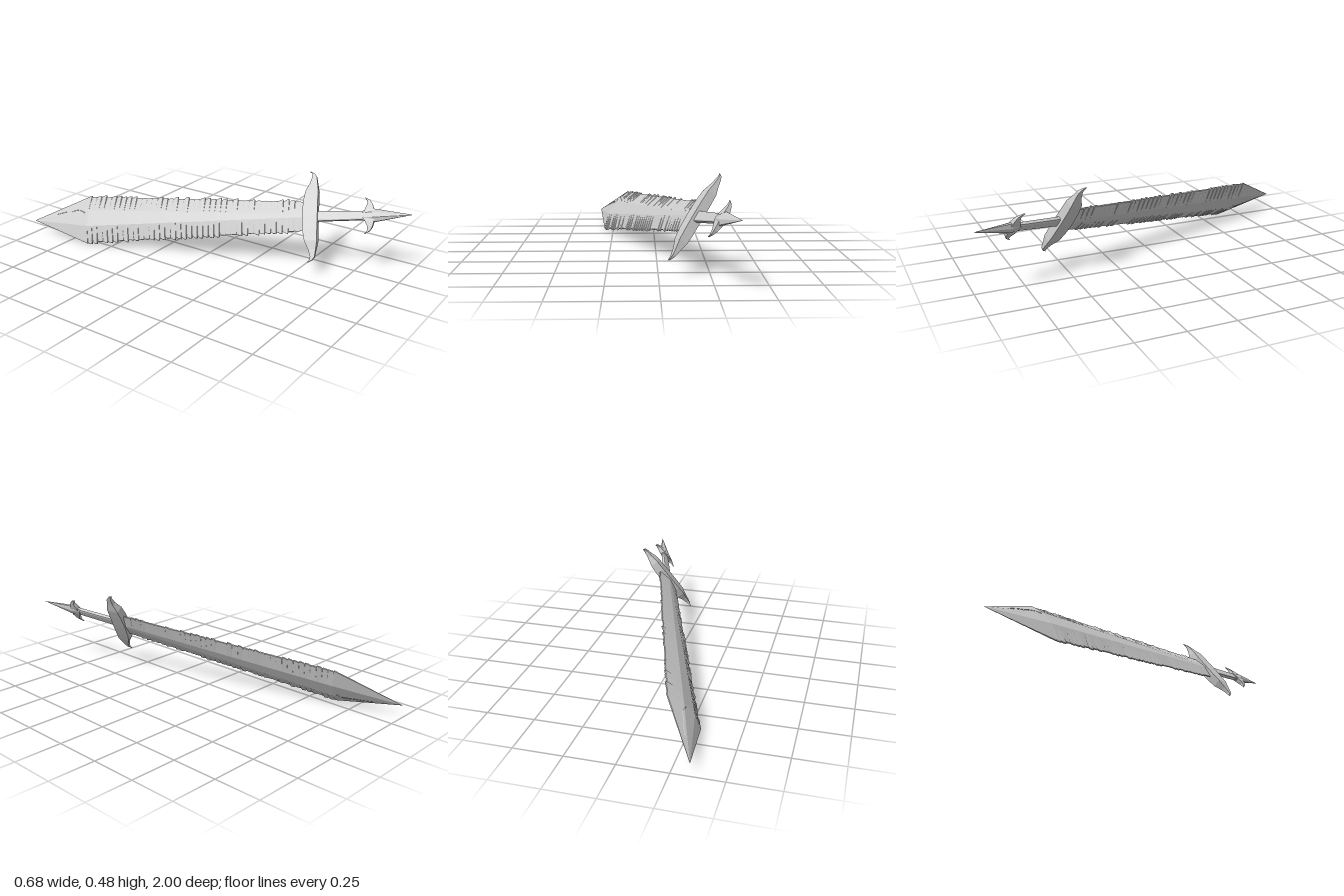
import * as THREE from 'three';

const material = new THREE.MeshStandardMaterial({ color: 0xcccccc, flatShading: true, side: THREE.DoubleSide });

// Joins rings of points into a closed, flat-shaded solid
function loft(name, rings) {
  const pos = [];
  const tri = (...pts) => pts.forEach((p) => pos.push(p[0], p[1], p[2]));
  const n = rings[0].length;
  for (let i = 0; i < rings.length - 1; i++) {
    for (let j = 0; j < n; j++) {
      const k = (j + 1) % n;
      const a = rings[i][j], b = rings[i][k], c = rings[i + 1][k], d = rings[i + 1][j];
      tri(a, b, c);
      tri(a, c, d);
    }
  }
  const first = rings[0], last = rings[rings.length - 1];
  for (let j = 1; j < n - 1; j++) {
    tri(first[0], first[j + 1], first[j]);
    tri(last[0], last[j], last[j + 1]);
  }
  const geometry = new THREE.BufferGeometry();
  geometry.setAttribute('position', new THREE.Float32BufferAttribute(pos, 3));
  geometry.computeVertexNormals();
  const mesh = new THREE.Mesh(geometry, material);
  mesh.name = name;
  return mesh;
}

// Eight-sided section across the length: flat half width r, half thickness t,
// edge half widths left and right, edge half thickness e
const bladeRing = (y, r, t, right, left, e) => [
  [r, y, t], [right, y, e], [right, y, -e], [r, y, -t],
  [-r, y, -t], [-left, y, -e], [-left, y, e], [-r, y, t],
];

// Rectangular section of a crosspiece: position x, centre y, half height, half depth
const barRing = ([x, y, h, d]) => [[x, y + h, d], [x, y - h, d], [x, y - h, -d], [x, y + h, -d]];

// Crosspiece mirrored from a half profile that starts in the middle
function crosspiece(name, half) {
  const mirrored = half.slice(1).reverse().map(([x, ...rest]) => [-x, ...rest]);
  return loft(name, [...mirrored, ...half].map(barRing));
}

function seeded(seed) {
  return () => {
    seed = (seed * 16807) % 2147483647;
    return seed / 2147483647;
  };
}

// Blade with ragged barbs along both edges, then a long point
function makeBlade() {
  const rand = seeded(77);
  const y0 = -0.53, y1 = 0.715, count = 40;
  const step = (y1 - y0) / count;
  const rings = [];
  const ring = (y, addR, addL) => {
    const f = (y - y0) / (y1 - y0);
    const w = THREE.MathUtils.lerp(0.075, 0.13, f);
    rings.push(bladeRing(y, 0.008 + 0.038 * f, 0.017 + 0.017 * f, w + addR, w + addL, 0.003));
  };
  const depth = () => (rand() < 0.35 ? 0.004 : 0.008 + rand() * 0.008);
  for (let i = 0; i < count; i++) {
    const y = y0 + i * step, r = depth(), l = depth();
    ring(y, 0, 0);
    ring(y + step * 0.08, r, l);
    ring(y + step * (0.45 + 0.3 * rand()), r * 0.75, l * 0.75);
    ring(y + step * 0.97, 0.001, 0.001);
  }
  ring(y1, 0.01, 0.01);
  rings.push(bladeRing(1.065, 0.0005, 0.0005, 0.001, 0.001, 0.0002));
  return loft('blade', rings);
}

// Thin jagged crack lying on one bevel near the point
function makeCrack(side) {
  const path = [[0.03, 0.735], [0.047, 0.765], [0.051, 0.793], [0.041, 0.825], [0.043, 0.86], [0.031, 0.92]];
  const curve = new THREE.CurvePath();
  const points = path.map(([w, y]) => {
    const f = (1.065 - y) / 0.35;
    const t = 0.034 * f * Math.min(1, (0.14 * f - w) / (0.094 * f));
    return new THREE.Vector3(side * w, y, side * t);
  });
  for (let i = 0; i < points.length - 1; i++) curve.add(new THREE.LineCurve3(points[i], points[i + 1]));
  const mesh = new THREE.Mesh(new THREE.TubeGeometry(curve, 20, 0.002, 4), material);
  mesh.name = 'crack';
  return mesh;
}

export function createModel() {
  const model = new THREE.Group();
  model.name = 'sword';
  const sword = new THREE.Group();
  sword.name = 'tiltedSword';
  model.add(sword);

  sword.add(makeBlade(), makeCrack(1), makeCrack(-1));

  // Guard with ends hooked towards the blade
  sword.add(crosspiece('guard', [
    [0, -0.55, 0.04, 0.026],
    [0.08, -0.552, 0.038, 0.025],
    [0.135, -0.558, 0.033, 0.023],
    [0.18, -0.565, 0.019, 0.013],
    [0.215, -0.567, 0.012, 0.008],
    [0.232, -0.56, 0.007, 0.005],
    [0.244, -0.543, 0.002, 0.002],
  ]));

  // Flat grip, narrowing to the pommel
  sword.add(loft('grip', [
    bladeRing(-0.86, 0.017, 0.011, 0.022, 0.022, 0.008),
    bladeRing(-0.54, 0.022, 0.012, 0.028, 0.028, 0.009),
  ]));

  // Pommel: small hooked crosspiece and a spike
  sword.add(crosspiece('pommelHooks', [
    [0, -0.85, 0.028, 0.016],
    [0.035, -0.855, 0.022, 0.013],
    [0.06, -0.857, 0.013, 0.009],
    [0.08, -0.85, 0.008, 0.005],
    [0.096, -0.83, 0.002, 0.002],
  ]));
  sword.add(loft('pommelSpike', [
    bladeRing(-1.065, 0.0005, 0.0005, 0.001, 0.001, 0.0002),
    bladeRing(-0.87, 0.014, 0.02, 0.036, 0.036, 0.005),
    bladeRing(-0.82, 0.012, 0.014, 0.024, 0.024, 0.005),
  ]));

  // Lay the sword along its slanted axis
  const along = new THREE.Vector3(-0.34, -0.1375, -1).normalize();
  const flat = new THREE.Vector3(0.517, 0.806, -0.287).cross(along).normalize();
  const across = along.clone().cross(flat);
  sword.quaternion.setFromRotationMatrix(new THREE.Matrix4().makeBasis(across, along, flat));
  sword.position.y = 0.208;
  return model;
}
